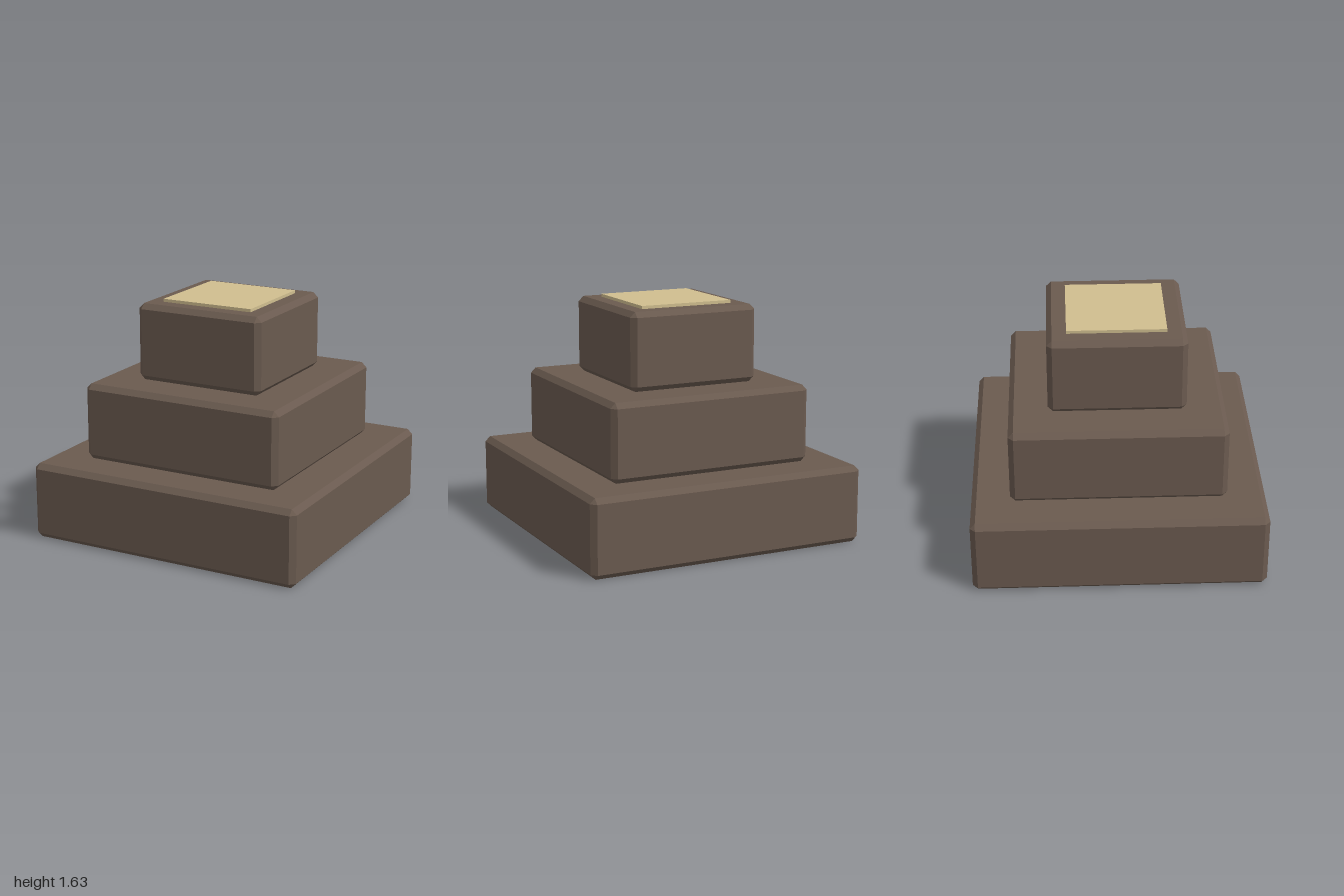
import * as THREE from 'three';
import { ConvexGeometry } from 'three/addons/geometries/ConvexGeometry.js';

// Box with every edge and corner cut off flat by c
function chamferedBox(w, h, d, c) {
  const points = [];
  for (const sx of [-1, 1]) for (const sy of [-1, 1]) for (const sz of [-1, 1]) {
    const x = w / 2, y = h / 2, z = d / 2;
    points.push(
      new THREE.Vector3(sx * x, sy * (y - c), sz * (z - c)),
      new THREE.Vector3(sx * (x - c), sy * y, sz * (z - c)),
      new THREE.Vector3(sx * (x - c), sy * (y - c), sz * z)
    );
  }
  return new ConvexGeometry(points);
}

export function createModel() {
  const model = new THREE.Group();
  model.name = 'steppedPlinth';

  const brown = new THREE.MeshStandardMaterial({ color: 0x6a5a4f });
  brown.name = 'brownStone';
  const sand = new THREE.MeshStandardMaterial({ color: 0xd0be8f });
  sand.name = 'sandPlate';

  // Three stacked tiers, each narrower than the one below
  const tierHeight = 0.5375;
  const tiers = [['lowerTier', 2], ['middleTier', 1.47], ['upperTier', 0.936]];
  tiers.forEach(([name, width], i) => {
    const tier = new THREE.Mesh(chamferedBox(width, tierHeight, width, 0.036), brown);
    tier.name = name;
    tier.position.y = (i + 0.5) * tierHeight;
    model.add(tier);
  });

  // Thin square plate on top
  const top = tiers.length * tierHeight;
  const plateHeight = 0.021;
  const plate = new THREE.Mesh(new THREE.BoxGeometry(0.67, plateHeight, 0.67), sand);
  plate.name = 'topPlate';
  plate.position.y = top + plateHeight / 2;
  model.add(plate);

  return model;
}
